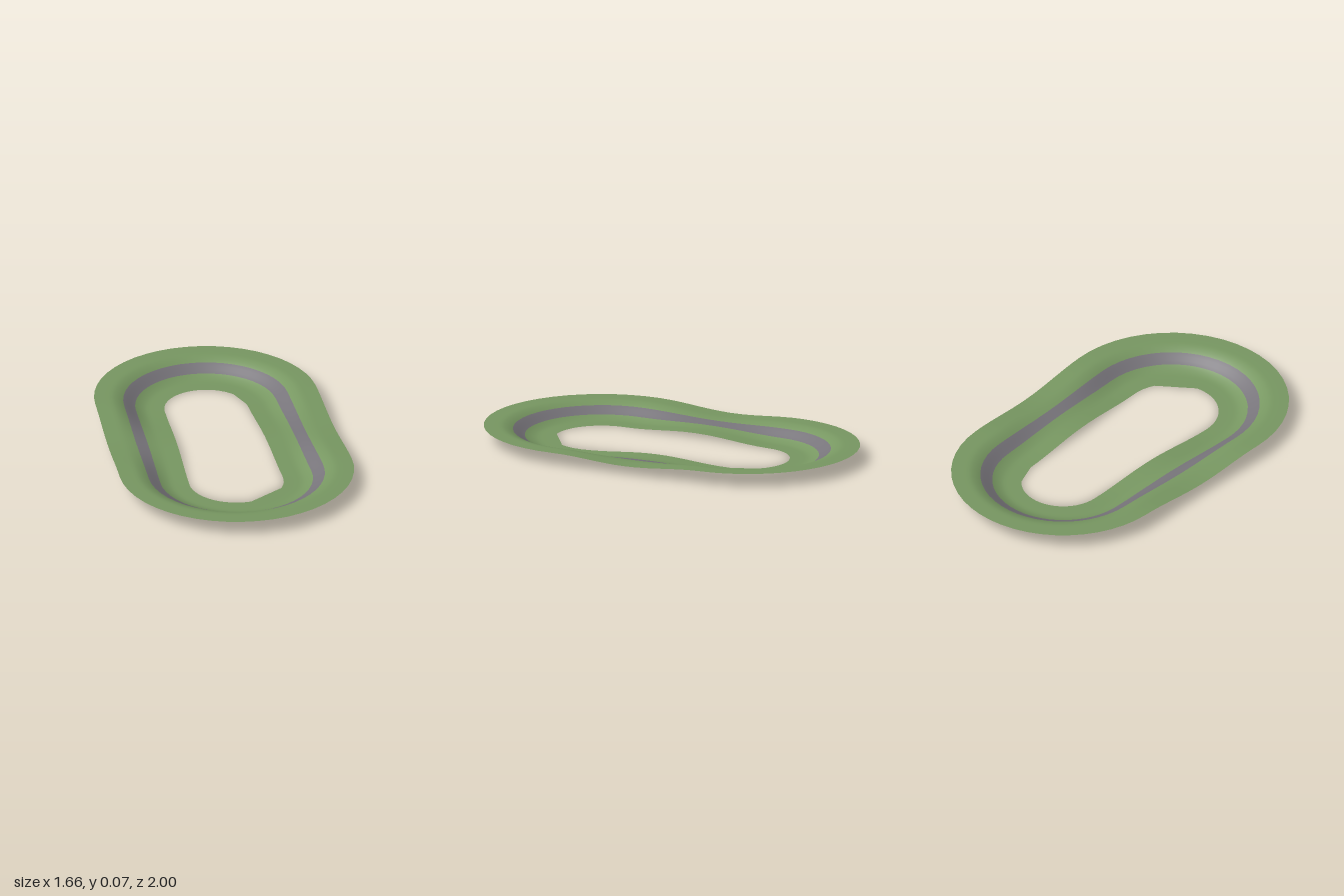
import * as THREE from 'three';

const HALF = 0.188;   // half width of the whole ribbon
const MID = 0.0365;   // mean height; banking swings by the same amount
const ARC = 24, LINE = 14;

// Stations around a belt of two turns joined by tangent straights
function makeStations() {
  const near = { x: 0.2, z: 0.37, r: 0.442 };
  const far = { x: -0.23, z: -0.4, r: 0.412 };
  const dx = near.x - far.x, dz = near.z - far.z;
  const axis = Math.atan2(dz, dx);
  const spread = Math.acos((far.r - near.r) / Math.hypot(dx, dz));
  const right = axis - spread, left = axis + spread;
  const list = [];
  const on = (c, a) => ({ x: c.x + c.r * Math.cos(a), z: c.z + c.r * Math.sin(a) });

  const turn = (c, a0, a1) => {
    for (let i = 0; i < ARC; i++) {
      const a = a0 + (a1 - a0) * i / ARC;
      list.push({ ...on(c, a), a, bank: 1 });
    }
  };
  // Banking eases off towards the middle of each straight
  const straight = (c0, c1, a) => {
    const p = on(c0, a), q = on(c1, a);
    for (let i = 0; i < LINE; i++) {
      const u = i / LINE;
      list.push({
        x: p.x + (q.x - p.x) * u, z: p.z + (q.z - p.z) * u, a,
        bank: 1 - 0.67 * Math.sin(Math.PI * u) ** 2,
      });
    }
  };
  turn(near, right, left);
  straight(near, far, left);
  turn(far, left, right + 2 * Math.PI);
  straight(far, near, right);

  // Offset of the inner edge, with two corners cut straight across
  for (const s of list) {
    s.ix = s.x - HALF * Math.cos(s.a);
    s.iz = s.z - HALF * Math.sin(s.a);
  }
  const farStart = ARC + LINE;
  for (const [i0, i1] of [[4, 11], [farStart + 19, farStart + ARC]]) {
    const p = list[i0], q = list[i1];
    for (let i = i0 + 1; i < i1; i++) {
      const u = (i - i0) / (i1 - i0);
      list[i].ix = p.ix + (q.ix - p.ix) * u;
      list[i].iz = p.iz + (q.iz - p.iz) * u;
    }
  }
  return list;
}

// S-shaped cross-section: flat verges with a sloped road between them
function bankShape(t) {
  return Math.sin(Math.PI / 2 * THREE.MathUtils.clamp(t / 0.55, -1, 1));
}

export function createModel() {
  const group = new THREE.Group();
  group.name = 'bankedTrack';
  const grass = new THREE.MeshStandardMaterial({ name: 'grass green', color: 0x789862, side: THREE.DoubleSide });
  const asphalt = new THREE.MeshStandardMaterial({ name: 'asphalt grey', color: 0x77747a, side: THREE.DoubleSide });

  // Columns across the ribbon, from inner edge (-1) to outer edge (1)
  const cols = [-1, -0.75, -0.6, -0.5, -0.4, -0.28, -0.17, -0.06, 0.06, 0.17, 0.28, 0.4, 0.5, 0.6, 0.75, 1];
  const stations = makeStations();
  const n = stations.length, w = cols.length;
  const positions = [];
  for (const s of stations) {
    for (const t of cols) {
      const y = MID + MID * s.bank * bankShape(t);
      if (t < -0.17) {
        // Inner verge runs from the road edge to the inner edge
        const u = (-t - 0.17) / 0.83;
        const rx = s.x - 0.17 * HALF * Math.cos(s.a), rz = s.z - 0.17 * HALF * Math.sin(s.a);
        positions.push(rx + (s.ix - rx) * u, y, rz + (s.iz - rz) * u);
      } else {
        positions.push(s.x + t * HALF * Math.cos(s.a), y, s.z + t * HALF * Math.sin(s.a));
      }
    }
  }

  const indexFor = (c0, c1) => {
    const index = [];
    for (let i = 0; i < n; i++) {
      const k = (i + 1) % n;
      for (let j = c0; j < c1; j++) {
        const a = i * w + j, b = k * w + j;
        index.push(a, b, a + 1, b, b + 1, a + 1);
      }
    }
    return index;
  };

  // Normals are shared by all strips so the surface shades as one
  const surface = new THREE.BufferGeometry();
  surface.setAttribute('position', new THREE.Float32BufferAttribute(positions, 3));
  surface.setIndex(indexFor(0, w - 1));
  surface.computeVertexNormals();

  const r0 = cols.indexOf(-0.17), r1 = cols.indexOf(0.17);
  const strips = [
    ['innerGrass', 0, r0, grass],
    ['road', r0, r1, asphalt],
    ['outerGrass', r1, w - 1, grass],
  ];
  for (const [name, c0, c1, material] of strips) {
    const geometry = surface.clone();
    geometry.setIndex(indexFor(c0, c1));
    const mesh = new THREE.Mesh(geometry, material);
    mesh.name = name;
    group.add(mesh);
  }
  return group;
}
